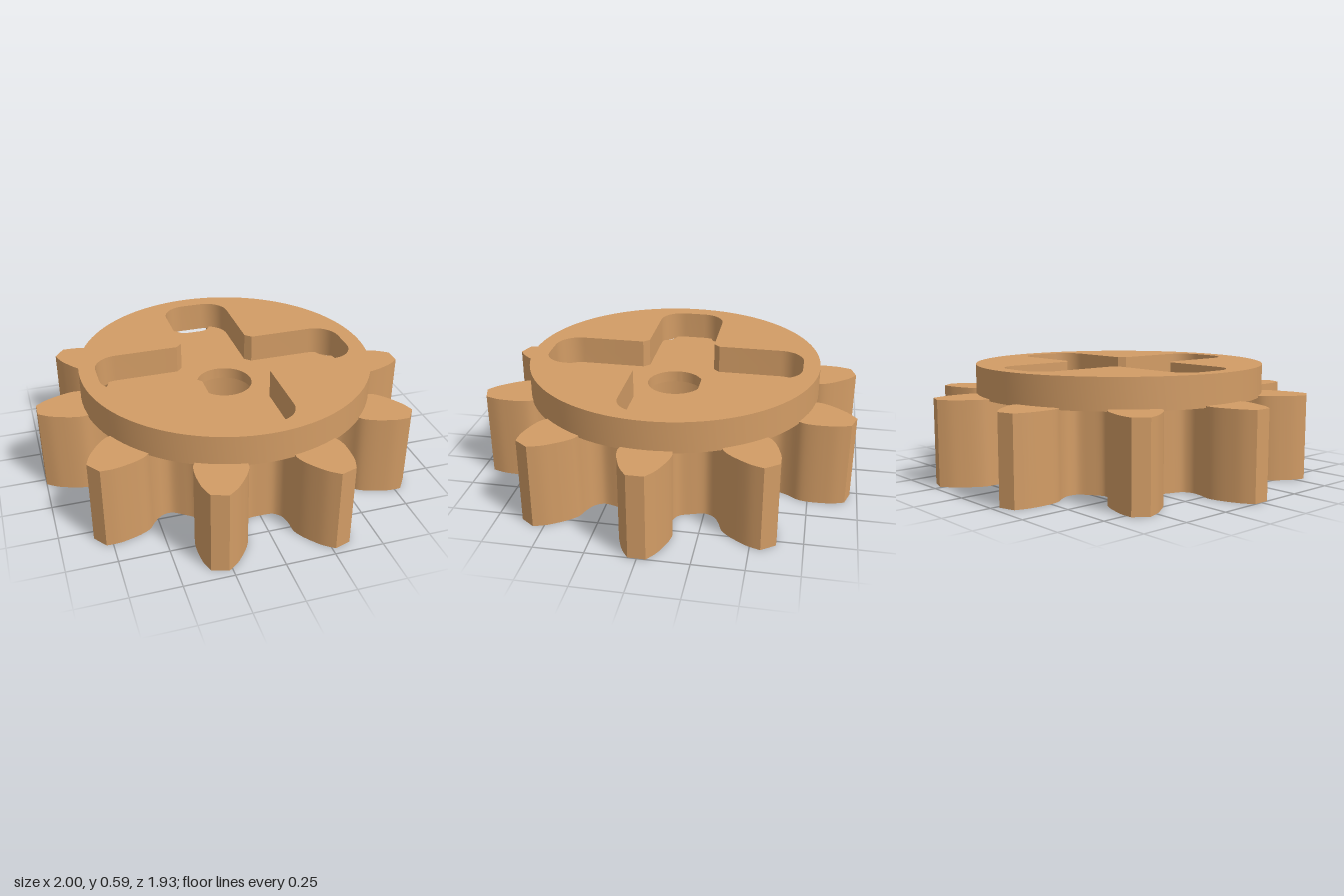
import * as THREE from 'three';
import { toCreasedNormals } from 'three/addons/utils/BufferGeometryUtils.js';

const TEETH = 10, GEAR_TOP = 0.44, DISC_BASE = 0.43, DISC_TOP = 0.59;

// Half of one tooth, tip to mid-gap: [radius, degrees from the tooth axis]
const FLANK = [[1, 2.45], [0.953, 4.7], [0.905, 6.4], [0.845, 8.3], [0.79, 9.4],
  [0.735, 8.9], [0.68, 9.0], [0.645, 10.5], [0.626, 13], [0.622, 18]];

function polar(radius, degrees) {
  const a = THREE.MathUtils.degToRad(degrees);
  return new THREE.Vector2(radius * Math.cos(a), radius * Math.sin(a));
}

// Closed tooth outline: each gap is one smooth curve between sharp tips
function gearShape() {
  const pitch = 360 / TEETH, outline = [];
  for (let i = 0; i < TEETH; i++) {
    const down = FLANK.map(([r, d]) => polar(r, i * pitch + d));
    const up = FLANK.slice(0, -1).reverse().map(([r, d]) => polar(r, (i + 1) * pitch - d));
    outline.push(...new THREE.SplineCurve([...down, ...up]).getPoints(54));
  }
  return new THREE.Shape(outline);
}

// Cross-shaped pocket with rounded arm ends and clipped inner corners
function crossPath() {
  const w = 0.182, end = 0.678, r = 0.125, clip = 0.032, points = [];
  for (let i = 0; i < 4; i++) {
    const arm = [new THREE.Vector2(w + clip, -w)];
    for (const side of [-1, 1]) {
      for (let k = 0; k <= 10; k++) {
        const a = (side < 0 ? -Math.PI / 2 : 0) + k / 10 * Math.PI / 2;
        arm.push(new THREE.Vector2(end - r + r * Math.cos(a), side * (w - r) + r * Math.sin(a)));
      }
    }
    arm.push(new THREE.Vector2(w + clip, w));
    const origin = new THREE.Vector2();
    points.push(...arm.map(p => p.rotateAround(origin, i * Math.PI / 2)));
  }
  return new THREE.Path(points);
}

// Upright extrusion from y = bottom to y = top
function slab(shape, bottom, top) {
  const g = new THREE.ExtrudeGeometry(shape, { depth: top - bottom, bevelEnabled: false, curveSegments: 48 });
  g.rotateX(-Math.PI / 2).translate(0, bottom, 0);
  return toCreasedNormals(g, 0.45);
}

export function createModel() {
  const model = new THREE.Group();
  model.name = 'gear';
  const tan = new THREE.MeshStandardMaterial({ color: 0xd29c65 });
  tan.name = 'tan';
  const add = (name, geometry) => {
    const mesh = new THREE.Mesh(geometry, tan);
    mesh.name = name;
    model.add(mesh);
  };

  // Toothed body with a round bore
  const teeth = gearShape();
  teeth.holes.push(new THREE.Path().absarc(0, 0, 0.257, 0, Math.PI * 2, true));
  add('toothedBody', slab(teeth, 0, GEAR_TOP));

  // Bore lining: small upper hole, wide lower bore, chamfered mouth
  const profile = [[0.257, GEAR_TOP], [0.147, GEAR_TOP], [0.147, 0.38], [0.232, 0.38], [0.232, 0.025], [0.257, 0]];
  const lining = new THREE.LatheGeometry(profile.map(p => new THREE.Vector2(...p)), 96);
  add('boreLining', toCreasedNormals(lining, 0.45));

  // Raised disc with the cross pocket cut through to the body
  const disc = new THREE.Shape().absarc(0, 0, 0.766, 0, Math.PI * 2, false);
  disc.holes.push(crossPath());
  add('topDisc', slab(disc, DISC_BASE, DISC_TOP));

  return model;
}
